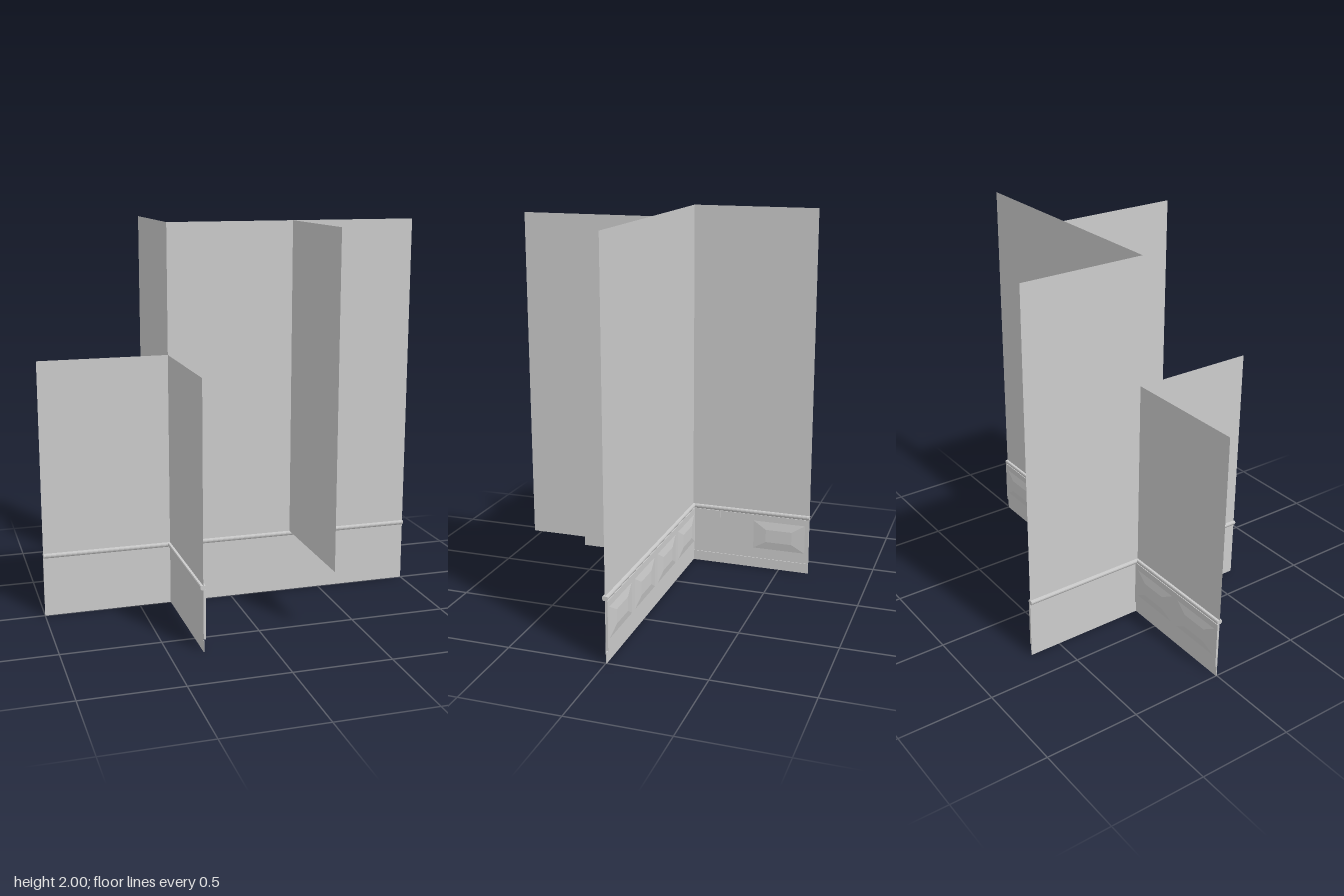
import * as THREE from 'three';

const grey = new THREE.MeshStandardMaterial({ color: 0xcccccc });
const thin = new THREE.MeshStandardMaterial({ color: 0xcccccc, side: THREE.DoubleSide });

const SLOT = 1 / 3;      // width of one wainscot bay
const RAIL_Y = 0.325;    // centre of the chair rail

function add(parent, name, geometry, x, y, z, material = grey) {
  const mesh = new THREE.Mesh(geometry, material);
  mesh.name = name;
  mesh.position.set(x, y, z);
  parent.add(mesh);
  return mesh;
}

// Thin upright wall sheet from x0 to x1 and y0 to y1
function sheet(parent, name, x0, x1, y0, y1) {
  return add(parent, name, new THREE.PlaneGeometry(x1 - x0, y1 - y0),
    (x0 + x1) / 2, (y0 + y1) / 2, 0, thin);
}

// Raised panel: a box whose outer face (towards -z) is shrunk to a small field
function raisedPanelGeometry(w, h, d) {
  const g = new THREE.BoxGeometry(w, h, d);
  const p = g.attributes.position;
  for (let i = 0; i < p.count; i++) {
    if (p.getZ(i) < 0) p.setXY(i, p.getX(i) * 0.5, p.getY(i) * 0.45);
  }
  g.computeVertexNormals();
  return g;
}

// Chair rail with a rounded nose on both sides, running along x
function railGeometry(length) {
  const s = new THREE.Shape();
  s.moveTo(-0.009, -0.012);
  s.lineTo(0.009, -0.012);
  s.quadraticCurveTo(0.019, 0, 0.012, 0.01);
  s.lineTo(-0.012, 0.01);
  s.quadraticCurveTo(-0.019, 0, -0.009, -0.012);
  const g = new THREE.ExtrudeGeometry(s, { depth: length, bevelEnabled: false, curveSegments: 4 });
  g.translate(0, 0, -length / 2);
  g.rotateY(Math.PI / 2);
  return g;
}

// Wainscot along x, facing -z: dado sheet, skirting, panelled band and rail
function wainscot(parent, half, panelCentres) {
  const g = new THREE.Group();
  g.name = 'wainscot';
  parent.add(g);
  const length = half * 2;
  sheet(g, 'dadoBacking', -half, half, 0, RAIL_Y);
  add(g, 'skirting', new THREE.BoxGeometry(length, 0.055, 0.004), 0, 0.0275, -0.003);
  add(g, 'panelBand', new THREE.BoxGeometry(length, 0.25, 0.012), 0, 0.188, -0.007);
  add(g, 'chairRail', railGeometry(length), 0, RAIL_Y, 0);
  const panel = raisedPanelGeometry(0.29, 0.16, 0.008);
  for (const x of panelCentres) add(g, 'raisedPanel', panel, x, 0.198, -0.017);
  return g;
}

export function createModel() {
  const model = new THREE.Group();
  model.name = 'crossedWalls';

  // Long wall with a low end and a tall main part
  const longWall = new THREE.Group();
  longWall.name = 'longWall';
  model.add(longWall);
  sheet(longWall, 'lowWall', -1, -SLOT, RAIL_Y, 4 / 3);
  sheet(longWall, 'tallWall', -SLOT, 1, RAIL_Y, 2);
  const centres = [];
  for (let i = 0; i < 6; i++) centres.push(-1 + (i + 0.5) * SLOT);
  wainscot(longWall, 1, centres);

  // Cross wall: local x runs along world z, the panelled side faces +x
  const crossWall = new THREE.Group();
  crossWall.name = 'crossWall';
  crossWall.rotation.y = -Math.PI / 2;
  crossWall.position.x = -SLOT;
  model.add(crossWall);
  sheet(crossWall, 'tallWall', -2 * SLOT, 0, RAIL_Y, 2);
  sheet(crossWall, 'lowWall', 0, 2 * SLOT, RAIL_Y, 4 / 3);
  wainscot(crossWall, 2 * SLOT, [-1.5 * SLOT, 0.5 * SLOT, 1.5 * SLOT]);
  // Plain stile beside the inner corner
  add(crossWall, 'cornerStile', new THREE.BoxGeometry(0.085, 0.25, 0.003), -0.1225, 0.188, -0.0135);

  // Free-hanging upper panel in front of the tall wall
  const hanging = sheet(model, 'upperPartition', 0, 2 * SLOT, SLOT, 2);
  hanging.rotation.y = -Math.PI / 2;
  hanging.position.set(SLOT, hanging.position.y, SLOT);

  return model;
}
